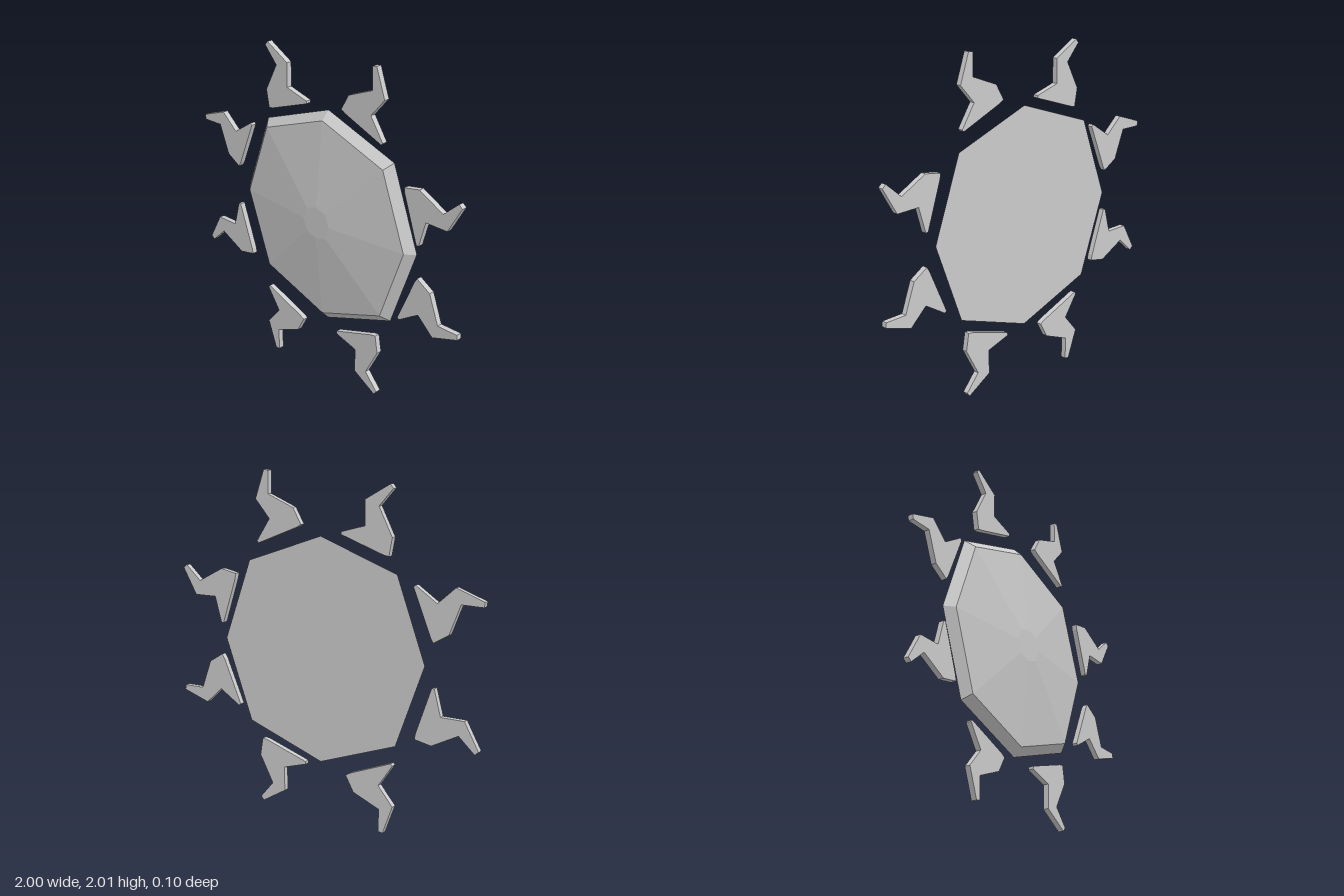
import * as THREE from 'three';

const material = new THREE.MeshStandardMaterial({ color: 0xcccccc, flatShading: true });

// Eight-sided shallow dome: flat back, bevelled rim, sloping facets, small flat centre
function makeDisc() {
  const profile = [[0, -0.05], [0.665, -0.05], [0.613, 0], [0.1, 0.05], [0, 0.05]]
    .map(([r, z]) => new THREE.Vector2(r, z));
  const geometry = new THREE.LatheGeometry(profile, 8).rotateX(Math.PI / 2);
  const p = geometry.attributes.position;
  for (let i = 0; i < p.count; i++) {
    // the diagonal corners stand slightly further out than the others
    const x = p.getX(i), y = p.getY(i);
    const k = Math.abs(x * y) > 1e-6 ? 1.04 : 1;
    p.setXY(i, x * k, y * k * 0.98);
  }
  geometry.computeVertexNormals();
  const disc = new THREE.Mesh(geometry, material);
  disc.name = 'disc';
  disc.position.y = 1.005;
  return disc;
}

// Hooked ray outline: +x points outward, +y runs along the disc's edge
const rayOutline = [
  [0.005, -0.002], [-0.01, 0.004], [-0.002, 0.29], [0.004, 0.322], [0.109, 0.304],
  [0.232, 0.168], [0.355, 0.216], [0.37, 0.19], [0.232, 0.075], [0.098, 0.126],
].map(([x, y]) => new THREE.Vector2(x, y));

// Position of each ray's sharp corner, and its outward direction in degrees
const rayPlaces = [
  [0.71, 1.09, 20], [0.443, 1.593, 69.5], [-0.123, 1.683, 110.5], [-0.587, 1.432, 159.5],
  [-0.71, 0.883, 201], [-0.459, 0.407, 250.5], [0.117, 0.317, 289.5], [0.59, 0.6, 338],
];

export function createModel() {
  const model = new THREE.Group();
  model.name = 'sunEmblem';
  model.add(makeDisc());

  // Ring of loose rays around the disc
  const rays = new THREE.Group();
  rays.name = 'rays';
  const rayGeometry = new THREE.ExtrudeGeometry(new THREE.Shape(rayOutline), {
    depth: 0.033, bevelEnabled: false,
  });
  rayPlaces.forEach(([x, y, degrees], i) => {
    const ray = new THREE.Mesh(rayGeometry, material);
    ray.name = `ray${i + 1}`;
    ray.position.set(x, y, -0.033);
    ray.rotation.z = THREE.MathUtils.degToRad(degrees);
    rays.add(ray);
  });
  model.add(rays);
  return model;
}
